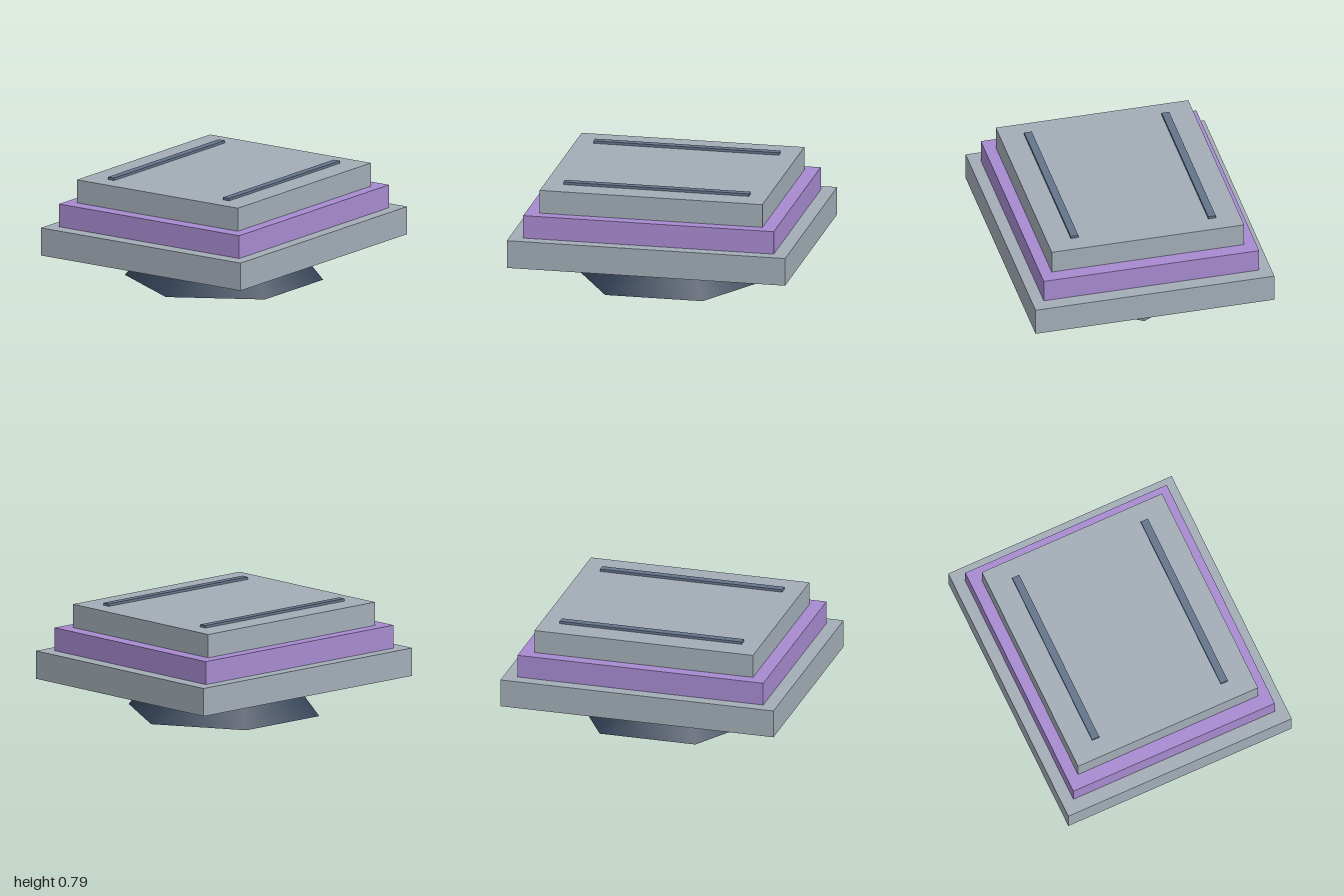
import * as THREE from 'three';

const material = (color) => new THREE.MeshStandardMaterial({ color });

export function createModel() {
  const model = new THREE.Group();
  model.name = 'steppedPedestal';

  const stone = material(0xa3adb7);
  const purple = material(0xa78bd0);
  const slate = material(0x64748b);
  const dark = material(0x334155);

  const add = (name, geometry, mat, x, bottom, height) => {
    const mesh = new THREE.Mesh(geometry, mat);
    mesh.name = name;
    mesh.position.set(x, bottom + height / 2, 0);
    model.add(mesh);
  };

  // Tapered foot and collar: name, top radius, bottom radius, bottom, height, sides
  for (const [name, top, bottomRadius, y, h, sides, mat] of [
    ['hexagonalFoot', 0.567, 0.7, 0, 0.167, 6, dark],
    ['collar', 0.483, 0.517, 0.167, 0.068, 12, slate],
  ]) {
    add(name, new THREE.CylinderGeometry(top, bottomRadius, h, sides), mat, 0, y, h);
  }

  // Stacked slabs: name, width, depth, bottom, height
  for (const [name, w, d, y, h, mat] of [
    ['lowerSlab', 1.73, 2, 0.235, 0.2, stone],
    ['middleSlab', 1.56, 1.8, 0.435, 0.165, purple],
    ['upperSlab', 1.394, 1.6, 0.6, 0.167, stone],
  ]) {
    add(name, new THREE.BoxGeometry(w, h, d), mat, 0, y, h);
  }

  // Raised rails along both sides of the top
  for (const side of [-1, 1]) {
    add(side > 0 ? 'leftRail' : 'rightRail',
      new THREE.BoxGeometry(0.055, 0.018, 1.333), slate, side * 0.498, 0.767, 0.018);
  }

  return model;
}
